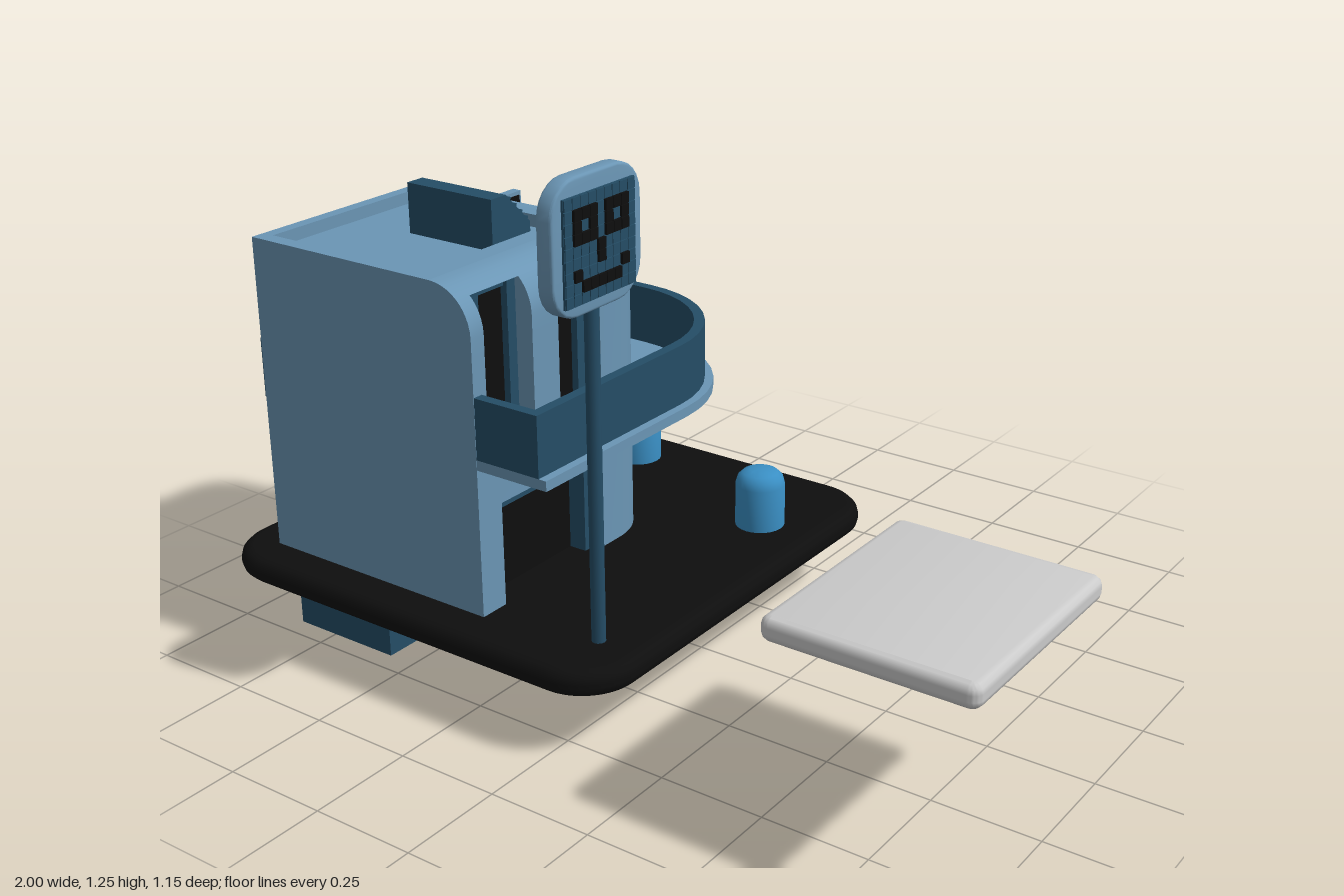
import * as THREE from 'three';
import { mergeGeometries, toCreasedNormals } from 'three/addons/utils/BufferGeometryUtils.js';

const mat = (color, side = THREE.FrontSide) => new THREE.MeshStandardMaterial({ color, side });
const light = mat(0x6b96b5, THREE.DoubleSide);
const dark = mat(0x254d66, THREE.DoubleSide);
const black = mat(0x0e0e0e);
const blue = mat(0x3a8fc4);
const grey = mat(0xcccccc);

// Floor plan: square corners except a round one at the back on the +x side.
// Notches cut doors and windows into the +x wall [zMax, zMin, x] and back wall [xMax, xMin, z].
function plan(right, back, radius, { left = -0.89, front = 0.475, side = [], rear = [] } = {}) {
  const p = [[left, front], [right, front]];
  for (const [z1, z0, x] of side) p.push([right, z1], [x, z1], [x, z0], [right, z0]);
  for (let i = 0; i <= 10; i++) {
    const a = (i / 10) * Math.PI / 2;
    p.push([right - radius + radius * Math.cos(a), back + radius - radius * Math.sin(a)]);
  }
  for (const [x1, x0, z] of rear) p.push([x1, back], [x1, z], [x0, z], [x0, back]);
  p.push([left, back]);
  return p;
}

// Stack matching plans [y, points] into a closed body, optionally with a vertical hole.
function loft(levels, hole) {
  const pos = [];
  const wall = (p0, y0, p1, y1) => p0.forEach((a, i) => {
    const j = (i + 1) % p0.length, b = p0[j], c = p1[j], d = p1[i];
    pos.push(a[0], y0, a[1], b[0], y0, b[1], c[0], y1, c[1]);
    pos.push(a[0], y0, a[1], c[0], y1, c[1], d[0], y1, d[1]);
  });
  for (let k = 0; k + 1 < levels.length; k++) wall(levels[k][1], levels[k][0], levels[k + 1][1], levels[k + 1][0]);
  const first = levels[0], last = levels[levels.length - 1];
  if (hole) {
    const inner = [...hole].reverse();
    wall(inner, first[0], inner, last[0]);
  }
  const sides = new THREE.BufferGeometry();
  sides.setAttribute('position', new THREE.Float32BufferAttribute(pos, 3));
  const toV = (pts) => pts.map(([x, z]) => new THREE.Vector2(x, -z));
  const caps = [first, last].map(([y, pts]) => {
    const s = new THREE.Shape(toV(pts));
    if (hole) s.holes.push(new THREE.Path(toV(hole)));
    const g = new THREE.ShapeGeometry(s).rotateX(-Math.PI / 2).translate(0, y, 0).toNonIndexed();
    g.deleteAttribute('uv');
    return g;
  });
  return mergeGeometries([toCreasedNormals(sides, 0.6), ...caps]);
}

// Rounded rectangle plate with bevelled rims, centred, thickness along z.
function plate(w, h, r, t, bevel, segs) {
  const s = new THREE.Shape(), x = w / 2, y = h / 2;
  s.absarc(x - r, y - r, r, 0, Math.PI / 2);
  s.absarc(-x + r, y - r, r, Math.PI / 2, Math.PI);
  s.absarc(-x + r, -y + r, r, Math.PI, Math.PI * 1.5);
  s.absarc(x - r, -y + r, r, Math.PI * 1.5, Math.PI * 2);
  const g = new THREE.ExtrudeGeometry(s, {
    depth: t - 2 * bevel, bevelThickness: bevel, bevelSize: bevel, bevelOffset: -bevel,
    bevelSegments: 3, curveSegments: segs,
  }).translate(0, 0, bevel - t / 2);
  return toCreasedNormals(g, 0.6);
}

const boxGeo = (x0, x1, y0, y1, z0, z1) =>
  new THREE.BoxGeometry(x1 - x0, y1 - y0, z1 - z0).translate((x0 + x1) / 2, (y0 + y1) / 2, (z0 + z1) / 2);

export function createModel() {
  const root = new THREE.Group();
  const add = (name, geo, material) => {
    const m = new THREE.Mesh(geo, material);
    m.name = name;
    root.add(m);
    return m;
  };
  const box = (name, material, ...b) => add(name, boxGeo(...b), material);

  // Ground plate, block underneath and detached pad
  add('groundPlate', plate(1.14, 1.15, 0.14, 0.062, 0.028, 8).rotateX(-Math.PI / 2), black).position.set(-0.43, 0.181, 0);
  box('underBlock', dark, -0.86, -0.57, 0, 0.155, 0.16, 0.45);
  add('pad', plate(0.47, 0.54, 0.025, 0.054, 0.02, 4).rotateX(-Math.PI / 2), grey).position.set(0.765, 0.475, 0.305);

  // House body: storeys with door and window notches, top edges rounded over
  const R = 0.15, r = 0.11, top = 0.97, roofFloor = 0.94;
  const windows = [[0.434, 0.278, -0.325], [0.19, 0.043, -0.325]];
  const garage = [[0.4, 0.06, -0.33]];
  const backDoor = [[-0.46, -0.85, -0.1]];
  const at = (y, opts) => {
    const h = Math.max(0, y - (top - r));
    const t = r - Math.sqrt(Math.max(0, r * r - h * h));
    return [y, plan(-0.25 - t, -0.17 + t, Math.max(0.04, R - t), opts)];
  };
  const rise = (y0, y1, n, opts) => Array.from({ length: n + 1 }, (_, i) => at(y0 + (y1 - y0) * Math.sin((i / n) * Math.PI / 2), opts));
  const lower = { side: garage, rear: backDoor };
  const upper = { side: windows, rear: backDoor };
  add('groundFloorWalls', loft([at(0.205, lower), at(0.46, lower)]), light);
  add('middleWalls', loft([at(0.46), at(0.59)]), light);
  add('upperWalls', loft([at(0.59, upper), at(0.82, upper)]), light);
  add('roundedEaves', loft([at(0.82, { side: windows }), ...rise(0.86, roofFloor, 7, { side: windows })]), light);
  const rim = [[-0.86, 0.44], [-0.41, 0.44], [-0.41, -0.02], [-0.86, -0.02]];
  add('roofRim', loft(rise(roofFloor, top, 5), rim), light);

  // Upper windows: dark frame around black glass
  for (const [z1, z0] of windows) {
    box('windowGlass', black, -0.33, -0.312, 0.59, 0.935, z0 + 0.01, z1 - 0.01);
    box('windowSill', black, -0.32, -0.262, 0.588, 0.6, z0 + 0.025, z1 - 0.025);
    box('windowJamb', dark, -0.325, -0.295, 0.59, 0.938, z0, z0 + 0.027);
    box('windowJamb', dark, -0.325, -0.295, 0.59, 0.938, z1 - 0.037, z1);
    box('windowHead', dark, -0.325, -0.305, 0.922, 0.939, z0, z1);
  }

  // Garage entrance on the +x side
  box('garageDoor', black, -0.335, -0.315, 0.21, 0.455, 0.07, 0.395);
  box('garageJamb', dark, -0.33, -0.27, 0.21, 0.459, 0.06, 0.09);
  box('garageJamb', dark, -0.33, -0.27, 0.21, 0.459, 0.39, 0.4);
  box('garageHead', dark, -0.33, -0.27, 0.435, 0.459, 0.06, 0.4);

  // Back wall: slatted shutter below, framed door above
  box('shutterBacking', dark, -0.85, -0.46, 0.21, 0.459, -0.115, -0.095);
  for (let i = 0; i < 6; i++) {
    const slat = add('shutterSlat', new THREE.BoxGeometry(0.388, 0.042, 0.012), dark);
    slat.position.set(-0.655, 0.235 + i * 0.04, -0.122);
    slat.rotation.x = 0.35;
  }
  box('backDoorGlass', black, -0.84, -0.47, 0.59, 0.81, -0.12, -0.095);
  for (const x of [-0.85, -0.49]) box('backDoorJamb', dark, x, x + 0.03, 0.59, 0.819, -0.145, -0.1);
  box('backDoorHead', dark, -0.85, -0.46, 0.79, 0.819, -0.145, -0.1);

  // Balcony: floor slab and railing wrapping the corner, carried on as a band along the -x wall
  add('balconyFloor', loft([0.564, 0.588].map((y) => [y, plan(-0.06, -0.36, 0.33, { left: -0.888, front: 0.474 })])), light);
  add('balconyRailing', loft(
    [0.586, 0.73].map((y) => [y, plan(-0.08, -0.34, 0.31, { left: -0.893, front: 0.474 })]),
    plan(-0.105, -0.315, 0.285, { left: -0.868, front: 0.449 })), dark);

  // Narrow upright sign at the end of the balcony
  box('wallSign', light, -0.885, -0.86, 0.595, 0.878, -0.41, -0.345);
  box('wallSignPanel', black, -0.862, -0.857, 0.605, 0.868, -0.402, -0.353);

  // Rooftop vent with a louvred slope facing back
  const vent = new THREE.Shape([[0.18, 0.935], [0.18, 1.06], [0.13, 1.06], [0.05, 0.98], [0.05, 0.935]]
    .map(([z, y]) => new THREE.Vector2(z, y)));
  add('roofVent', new THREE.ExtrudeGeometry(vent, { depth: 0.25, bevelEnabled: false })
    .rotateY(-Math.PI / 2).translate(-0.44, 0, 0), dark);
  for (let i = 0; i < 4; i++) {
    const slat = add('ventLouvre', new THREE.BoxGeometry(0.235, 0.006, 0.022), dark);
    slat.position.set(-0.565, 0.991 + i * 0.019, 0.058 + i * 0.019);
    slat.rotation.x = -0.3;
  }

  // Bollards with rounded tops
  const bollard = [[0, 0], [0.06, 0], [0.06, 0.11], [0.055, 0.128], [0.043, 0.14], [0.025, 0.146], [0, 0.147]]
    .map(([x, y]) => new THREE.Vector2(x, y));
  for (const [x, z] of [[-0.505, -0.43], [-0.02, -0.275]]) {
    add('bollard', toCreasedNormals(new THREE.LatheGeometry(bollard, 24), 0.7), blue).position.set(x, 0.208, z);
  }

  // Pole sign with a pixel display
  add('signPole', new THREE.CylinderGeometry(0.016, 0.016, 0.82, 12), dark).position.set(0.02, 0.6, 0.411);
  add('signHead', plate(0.285, 0.285, 0.075, 0.04, 0.006, 3).rotateY(Math.PI / 2), light).position.set(0.021, 1.112, 0.412);
  const face = ['.........', '.###.###.', '.#.#.#.#.', '.###.###.', '....#....', '....#....', '.#.....#.', '..#####..', '.........'];
  const lit = [], unlit = [];
  face.forEach((row, j) => [...row].forEach((ch, i) => {
    const z = 0.524 - (i + 0.5) * 0.025, y = 1.219 - (j + 0.5) * 0.0247, h = 0.0115;
    (ch === '#' ? lit : unlit).push(boxGeo(0.038, ch === '#' ? 0.053 : 0.049, y - h, y + h, z - h, z + h));
  }));
  box('displayBacking', dark, 0.036, 0.046, 0.997, 1.219, 0.299, 0.524);
  add('displayTiles', mergeGeometries(unlit), dark);
  add('displayPixels', mergeGeometries(lit), black);

  return root;
}
